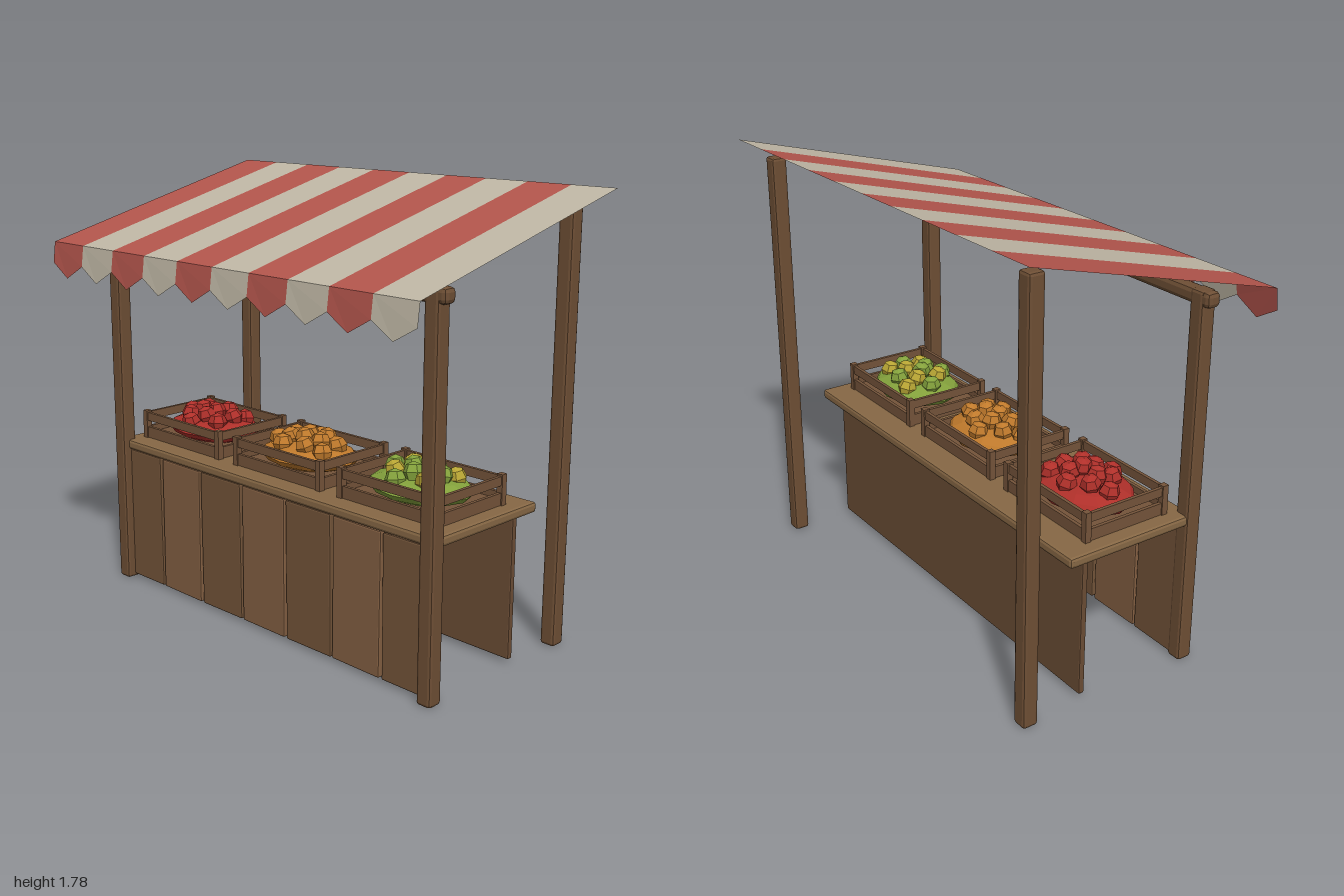
import * as THREE from 'three';
import { RoundedBoxGeometry } from 'three/addons/geometries/RoundedBoxGeometry.js';

const mat = (color, side = THREE.FrontSide) =>
  new THREE.MeshStandardMaterial({ color, side, flatShading: true });

const M = {
  post: mat(0x6e4f35), top: mat(0x876845), plankA: mat(0x735439), plankB: mat(0x835f42),
  back: mat(0x6b4d35), crate: mat(0x75543a),
  clothRed: mat(0xb3554c, THREE.DoubleSide), clothCream: mat(0xbfb7a5, THREE.DoubleSide),
  red: mat(0xb0302a), orange: mat(0xc07a2c), green: mat(0x84a23c), yellow: mat(0xb8a534),
};

function add(parent, name, geometry, material, x = 0, y = 0, z = 0) {
  const mesh = new THREE.Mesh(geometry, material);
  mesh.name = name;
  mesh.position.set(x, y, z);
  parent.add(mesh);
  return mesh;
}

// Box with one chamfer on every edge
const beam = (w, h, d, r = 0.012) => new RoundedBoxGeometry(w, h, d, 1, r);

// Flat polygon as a triangle fan
function fan(points) {
  const geo = new THREE.BufferGeometry();
  geo.setAttribute('position', new THREE.Float32BufferAttribute(points.flat(), 3));
  const index = [];
  for (let i = 1; i < points.length - 1; i++) index.push(0, i, i + 1);
  geo.setIndex(index);
  geo.computeVertexNormals();
  return geo;
}

function createFrame() {
  const g = new THREE.Group();
  g.name = 'frame';
  for (const x of [-0.875, 0.875]) {
    add(g, 'frontPost', beam(0.065, 1.51, 0.065), M.post, x, 0.76, 0.295);
    add(g, 'backPost', beam(0.065, 1.72, 0.065), M.post, x, 0.865, -0.445);
  }
  add(g, 'frontBeam', beam(1.87, 0.06, 0.06, 0.018), M.post, 0, 1.485, 0.295);
  return g;
}

function createCounter() {
  const g = new THREE.Group();
  g.name = 'counter';
  add(g, 'counterTop', beam(1.8, 0.042, 0.575), M.top, 0, 0.617, 0.0125);
  add(g, 'backPanel', beam(1.74, 0.565, 0.025, 0.006), M.back, 0, 0.303, -0.185);
  // Front planks, each leaning a touch
  const pitch = 0.254;
  for (let i = 0; i < 7; i++) {
    const plank = add(g, 'frontPlank', beam(pitch - 0.012, 0.575, 0.025, 0.006),
      i % 2 ? M.plankB : M.plankA, (i - 3) * pitch, 0.306, 0.278);
    plank.rotation.z = [0.004, -0.006, 0.007, -0.003, 0.006, -0.006, 0.004][i];
  }
  return g;
}

function createCrate(name, x, mound, fruits, turn) {
  const g = new THREE.Group();
  g.name = name;
  g.position.set(x, 0.638, 0.028);
  const hw = 0.25, hd = 0.193;
  add(g, 'crateFloor', new THREE.BoxGeometry(0.47, 0.02, 0.36), M.crate, 0, 0.012, 0);
  for (const s of [-1, 1]) {
    for (const t of [-1, 1]) {
      add(g, 'cratePost', new THREE.BoxGeometry(0.026, 0.12, 0.026), M.crate,
        s * (hw - 0.013), 0.06, t * (hd - 0.013));
    }
    // Lower and upper slats on all four sides
    for (const [y, h] of [[0.025, 0.048], [0.095, 0.036]]) {
      add(g, 'longSlat', new THREE.BoxGeometry(0.46, h, 0.014), M.crate, 0, y, s * (hd - 0.012));
      add(g, 'shortSlat', new THREE.BoxGeometry(0.014, h, 0.35), M.crate, s * (hw - 0.012), y, 0);
    }
  }
  // Mound of produce with single fruits on it
  const heap = add(g, 'produceMound', new THREE.SphereGeometry(1, 12, 8), mound, 0, 0.06, 0);
  heap.scale.set(0.222, 0.052, 0.168);
  const count = 12;
  for (let i = 0; i < count; i++) {
    const r = Math.sqrt((i + 0.4) / count), a = i * 2.4 + turn;
    const fruit = add(g, 'fruit', new THREE.SphereGeometry(0.042, 6, 4), fruits[i % fruits.length],
      0.165 * r * Math.cos(a), 0.133 - 0.036 * r * r, 0.12 * r * Math.sin(a));
    fruit.rotation.set(0.25 * Math.sin(i * 3), i * 1.3, 0.25 * Math.cos(i * 5));
  }
  return g;
}

function createCanopy() {
  const g = new THREE.Group();
  g.name = 'canopy';
  const n = 10, w = 2 / n, zf = 0.525, zv = 0.54;
  for (let i = 0; i < n; i++) {
    const a = -1 + i * w, b = a + w, m = i % 2 ? M.clothCream : M.clothRed;
    add(g, 'roofStripe', fan([[a, 1.505, zf], [b, 1.505, zf], [b, 1.785, -0.548], [a, 1.785, -0.548]]), m);
    // Pointed flap hanging from the front edge
    add(g, 'valanceFlap', fan([[a, 1.505, zf], [a, 1.42, zv - 0.004], [(a + b) / 2, 1.363, zv],
      [b, 1.42, zv - 0.004], [b, 1.505, zf]]), m);
  }
  return g;
}

export function createModel() {
  const model = new THREE.Group();
  model.name = 'marketStall';
  model.add(
    createFrame(),
    createCounter(),
    createCrate('redCrate', -0.59, M.red, [M.red], 0.4),
    createCrate('orangeCrate', 0, M.orange, [M.orange], 1.7),
    createCrate('greenCrate', 0.59, M.green, [M.green, M.yellow], 2.9),
    createCanopy(),
  );
  return model;
}
